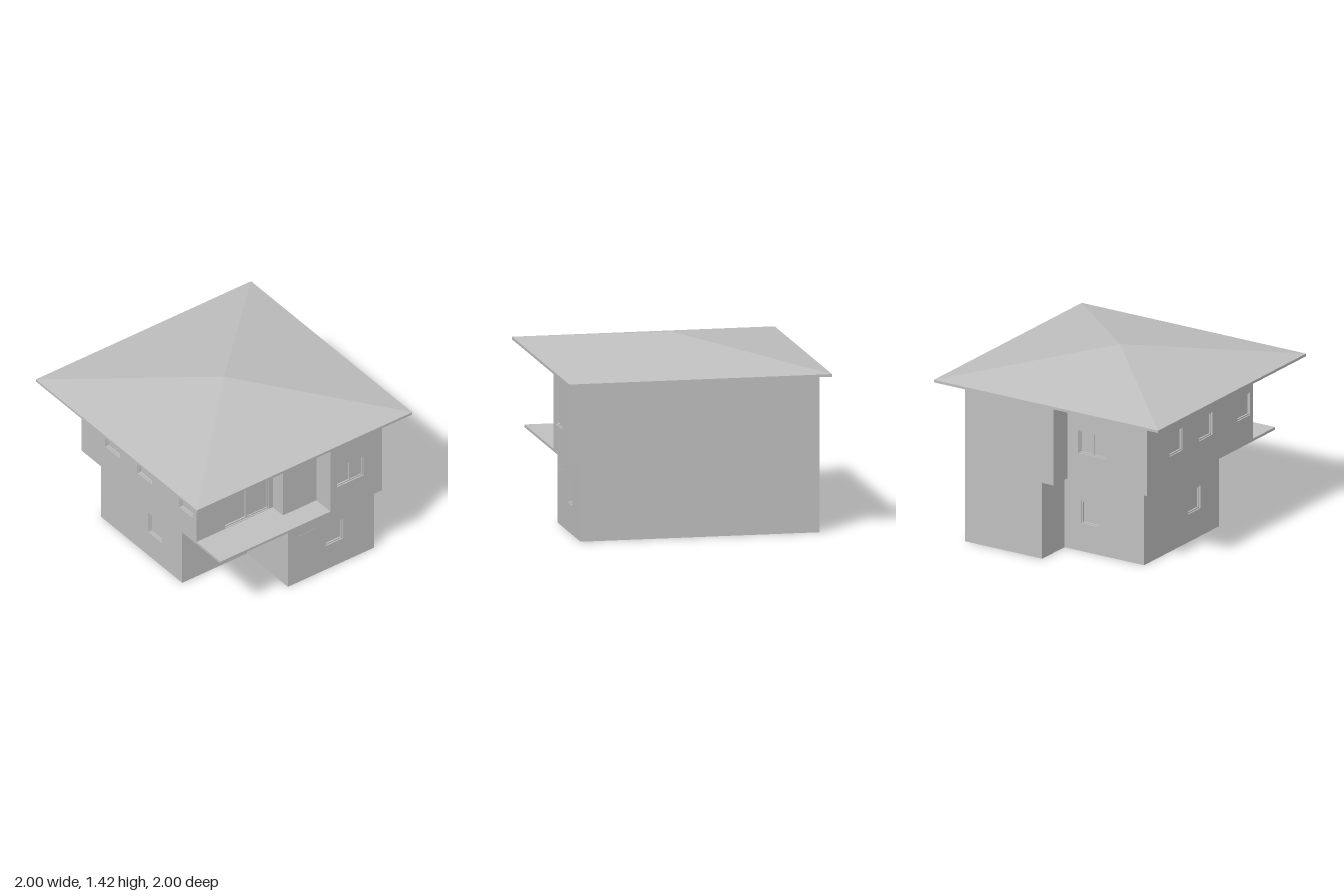
import * as THREE from 'three';

const grey = new THREE.MeshStandardMaterial({ color: 0xbfbfbf });
grey.name = 'plain grey';

const WALL = 0.04;    // wall thickness
const RECESS = 0.022; // depth of the glass behind the wall face

function add(parent, geometry, name) {
  const mesh = new THREE.Mesh(geometry, grey);
  mesh.name = name;
  parent.add(mesh);
  return mesh;
}

function box(parent, name, w, h, d, x, y, z) {
  return add(parent, new THREE.BoxGeometry(w, h, d).translate(x, y, z), name);
}

function rectPath(Type, x0, y0, x1, y1) {
  const p = new Type();
  p.moveTo(x0, y0);
  p.lineTo(x1, y0);
  p.lineTo(x1, y1);
  p.lineTo(x0, y1);
  p.closePath();
  return p;
}

// Horizontal slab from an [x, z] outline
function slab(parent, outline, y0, y1, name) {
  const shape = new THREE.Shape(outline.map(([x, z]) => new THREE.Vector2(x, -z)));
  const geo = new THREE.ExtrudeGeometry(shape, { depth: y1 - y0, bevelEnabled: false });
  geo.rotateX(-Math.PI / 2).translate(0, y0, 0);
  return add(parent, geo, name);
}

// Frame, glass and, on wide openings, a centre bar and offset sliding sash
function addWindow(parent, x0, y0, x1, y1, name) {
  const group = new THREE.Group();
  group.name = name;
  const f = 0.01;
  const frame = rectPath(THREE.Shape, x0, y0, x1, y1);
  frame.holes.push(rectPath(THREE.Path, x0 + f, y0 + f, x1 - f, y1 - f));
  const geo = new THREE.ExtrudeGeometry(frame, { depth: 0.012, bevelEnabled: false });
  add(group, geo.translate(0, 0, -RECESS), 'windowFrame');
  const w = x1 - x0, h = y1 - y0, cx = (x0 + x1) / 2, cy = (y0 + y1) / 2;
  box(group, 'glass', w, h, 0.004, cx, cy, -RECESS - 0.002);
  if (w > 0.2) {
    box(group, 'centreBar', f, h, 0.012, cx, cy, -RECESS + 0.006);
    box(group, 'slidingSash', w / 2, h, 0.004, cx + w / 4, cy, -RECESS + 0.002);
  }
  parent.add(group);
}

// Walls along a closed outline; openings give edge, span on its axis and heights
function storey(parent, outline, y0, y1, openings, plates, name) {
  const group = new THREE.Group();
  group.name = name;
  outline.forEach((a, i) => {
    const b = outline[(i + 1) % outline.length];
    const dx = b[0] - a[0], dz = b[1] - a[1];
    const length = Math.hypot(dx, dz);
    const axis = Math.abs(dx) > Math.abs(dz) ? 0 : 1;
    const span = (p, q) => [Math.abs(p - a[axis]), Math.abs(q - a[axis])].sort((m, n) => m - n);
    const side = new THREE.Group();
    side.name = 'wallSide';
    side.position.set(a[0], 0, a[1]);
    side.rotation.y = Math.atan2(-dz, dx);
    const shape = rectPath(THREE.Shape, 0, y0, length, y1);
    for (const [edge, p, q, bottom, top, label] of openings) {
      if (edge !== i) continue;
      const [u0, u1] = span(p, q);
      shape.holes.push(rectPath(THREE.Path, u0, bottom, u1, top));
      addWindow(side, u0, bottom, u1, top, label || 'window');
    }
    for (const [edge, p, q, bottom, top, label] of plates) {
      if (edge !== i) continue;
      const [u0, u1] = span(p, q);
      box(side, label, u1 - u0, top - bottom, 0.004, (u0 + u1) / 2, (bottom + top) / 2, 0);
    }
    const geo = new THREE.ExtrudeGeometry(shape, { depth: WALL, bevelEnabled: false });
    add(side, geo.translate(0, 0, -WALL), 'wall');
    group.add(side);
  });
  parent.add(group);
}

export function createModel() {
  const house = new THREE.Group();
  house.name = 'house';

  // Ground floor
  const ground = [[-0.65, 0.35], [-0.05, 0.35], [-0.05, 0.86], [0.75, 0.86],
    [0.75, -0.96], [0.06, -0.96], [0.06, -0.66], [-0.65, -0.66]];
  slab(house, ground, 0, 0.01, 'groundSlab');
  storey(house, ground, 0, 0.6, [
    [0, -0.44, -0.2, 0.22, 0.4],
    [2, 0.3, 0.46, 0.22, 0.4],
    [6, -0.25, -0.09, 0.22, 0.4],
    [7, -0.07, 0.1, 0.22, 0.4],
  ], [[2, 0.03, 0.2, 0.02, 0.43, 'frontDoor']], 'groundFloor');

  // Upper floor slab, running out to the balcony
  slab(house, [[-0.75, 0.96], [0.75, 0.96], [0.75, -0.96], [-0.04, -0.96],
    [-0.04, -0.77], [-0.75, -0.77]], 0.6, 0.62, 'balconySlab');

  // Upper floor
  const upper = [[-0.75, 0.66], [-0.04, 0.66], [-0.04, 0.785], [0.27, 0.785], [0.27, 0.96],
    [0.75, 0.96], [0.75, -0.96], [-0.04, -0.96], [-0.04, -0.77], [-0.75, -0.77]];
  storey(house, upper, 0.62, 1.22, [
    [0, -0.485, -0.075, 0.625, 1.025, 'slidingDoor'],
    [4, 0.33, 0.58, 0.82, 1.0],
    [8, -0.39, -0.14, 0.82, 1.0],
    [9, -0.47, -0.29, 0.82, 1.0],
    [9, -0.07, 0.11, 0.82, 1.0],
    [9, 0.45, 0.63, 0.82, 1.0],
  ], [[2, 0.02, 0.2, 0.62, 1.03, 'balconyDoor']], 'upperFloor');
  slab(house, upper, 1.21, 1.22, 'ceiling');

  // Hipped roof: a four-sided turned profile with flat faces
  const r = Math.SQRT2;
  const profile = [[0, 1.4], [r, 1.22], [r, 1.24], [0, 1.42]].map(([x, y]) => new THREE.Vector2(x, y));
  const roof = new THREE.LatheGeometry(profile, 4, Math.PI / 4).toNonIndexed();
  roof.computeVertexNormals();
  add(house, roof, 'roof');

  return house;
}
